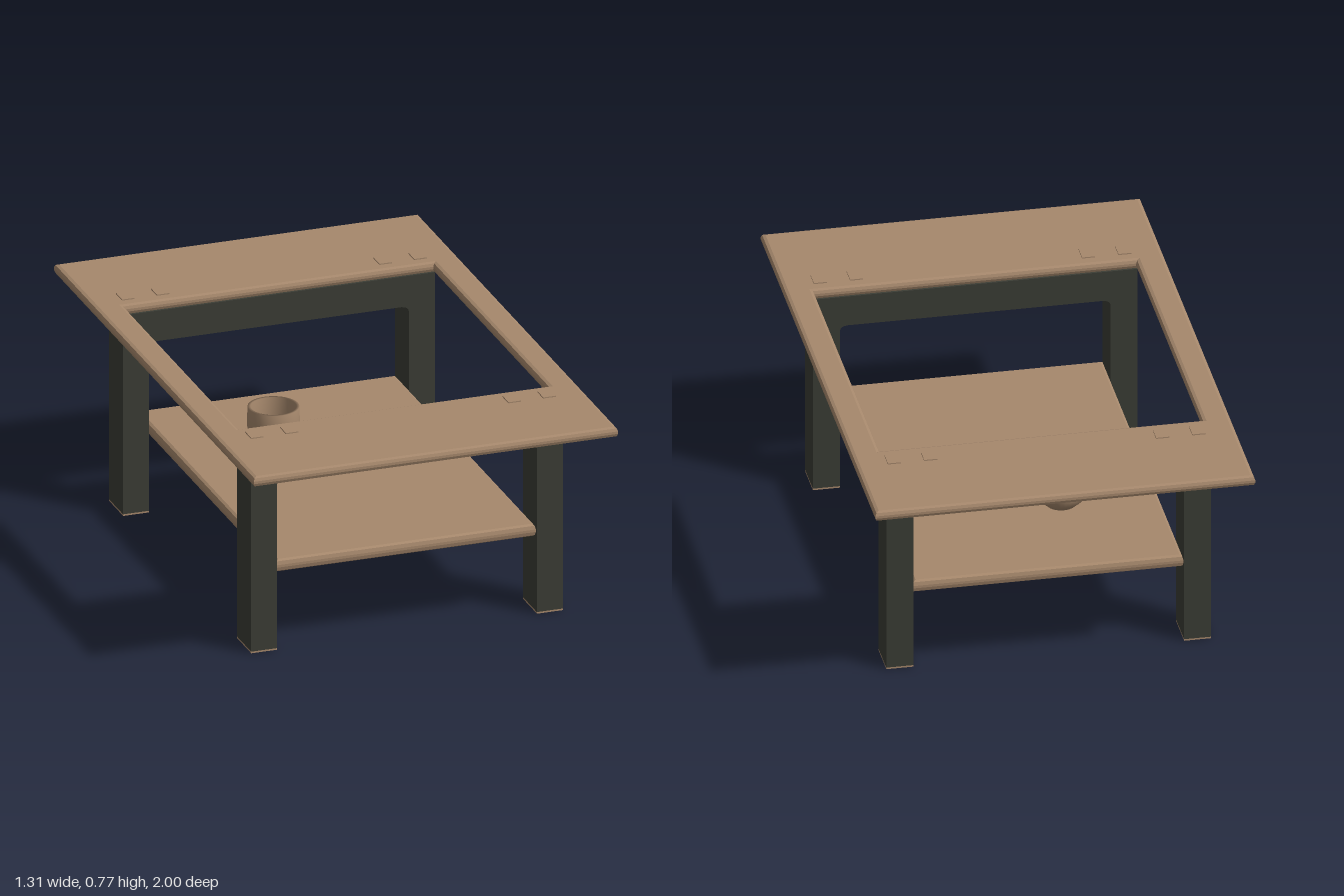
import * as THREE from 'three';

const wood = new THREE.MeshStandardMaterial({ color: 0xa6886c });
wood.name = 'warm wood';
const dark = new THREE.MeshStandardMaterial({ color: 0x3b3d35 });
dark.name = 'dark painted wood';

function rectPoints(hx, hz) {
  return [[-hx, -hz], [hx, -hz], [hx, hz], [-hx, hz]].map(([x, y]) => new THREE.Vector2(x, y));
}

// Horizontal board with bevelled edges; outer sizes include the bevel
function board(hx, hz, y0, y1, bevel, bevelY, hole) {
  const shape = new THREE.Shape(rectPoints(hx - bevel, hz - bevel));
  if (hole) shape.holes.push(new THREE.Path(rectPoints(hole[0] + bevel, hole[1] + bevel).reverse()));
  const geo = new THREE.ExtrudeGeometry(shape, {
    depth: y1 - y0 - 2 * bevelY, bevelThickness: bevelY, bevelSize: bevel, bevelSegments: 2,
  });
  geo.rotateX(-Math.PI / 2);
  geo.translate(0, y0 + bevelY, 0);
  return geo;
}

export function createModel() {
  const group = new THREE.Group();
  const add = (name, geo, mat, x = 0, y = 0, z = 0) => {
    const mesh = new THREE.Mesh(geo, mat);
    mesh.name = name;
    mesh.position.set(x, y, z);
    group.add(mesh);
    return mesh;
  };

  // Top frame with the large opening, and the lower shelf
  add('tableTop', board(0.655, 1, 0.733, 0.77, 0.014, 0.014, [0.555, 0.57]), wood);
  add('shelf', board(0.467, 0.7, 0.278, 0.323, 0.012, 0.018), wood);

  // Arch-shaped leg frames: two legs joined by an apron, softened inner corners
  const arch = new THREE.Shape();
  arch.moveTo(-0.56, 0.006);
  arch.lineTo(-0.467, 0.006);
  arch.lineTo(-0.467, 0.605);
  arch.quadraticCurveTo(-0.465, 0.622, -0.44, 0.624);
  arch.lineTo(0.44, 0.624);
  arch.quadraticCurveTo(0.465, 0.622, 0.467, 0.605);
  arch.lineTo(0.467, 0.006);
  arch.lineTo(0.56, 0.006);
  arch.lineTo(0.56, 0.735);
  arch.lineTo(-0.56, 0.735);
  const archGeo = new THREE.ExtrudeGeometry(arch, { depth: 0.14, bevelEnabled: false, curveSegments: 4 });
  archGeo.translate(0, 0, -0.07);

  const footGeo = new THREE.BoxGeometry(0.093, 0.006, 0.14);
  const tabGeo = new THREE.BoxGeometry(0.045, 0.008, 0.06);
  for (const s of [1, -1]) {
    const end = s > 0 ? 'front' : 'back';
    add(end + 'LegFrame', archGeo, dark, 0, 0, s * 0.64);
    for (const m of [1, -1]) {
      const side = m > 0 ? 'Left' : 'Right';
      // Bare wood under each leg
      add(end + side + 'Foot', footGeo, wood, m * 0.5135, 0.003, s * 0.64);
      // Joint ends showing on the top
      for (const x of [0.4, 0.525]) add(end + side + 'Joint', tabGeo, wood, m * x, 0.77, s * 0.645);
    }
  }

  // Open cup: outside from the base up, over the rim, down the inside
  const profile = [
    [0, 0.32], [0.05, 0.322], [0.075, 0.345], [0.087, 0.37], [0.09, 0.4], [0.088, 0.465],
    [0.078, 0.465], [0.079, 0.4], [0.072, 0.365], [0.045, 0.342], [0, 0.34],
  ].map(([r, y]) => new THREE.Vector2(r, y));
  add('cup', new THREE.LatheGeometry(profile, 32), wood, -0.132, 0, -0.258);

  return group;
}
